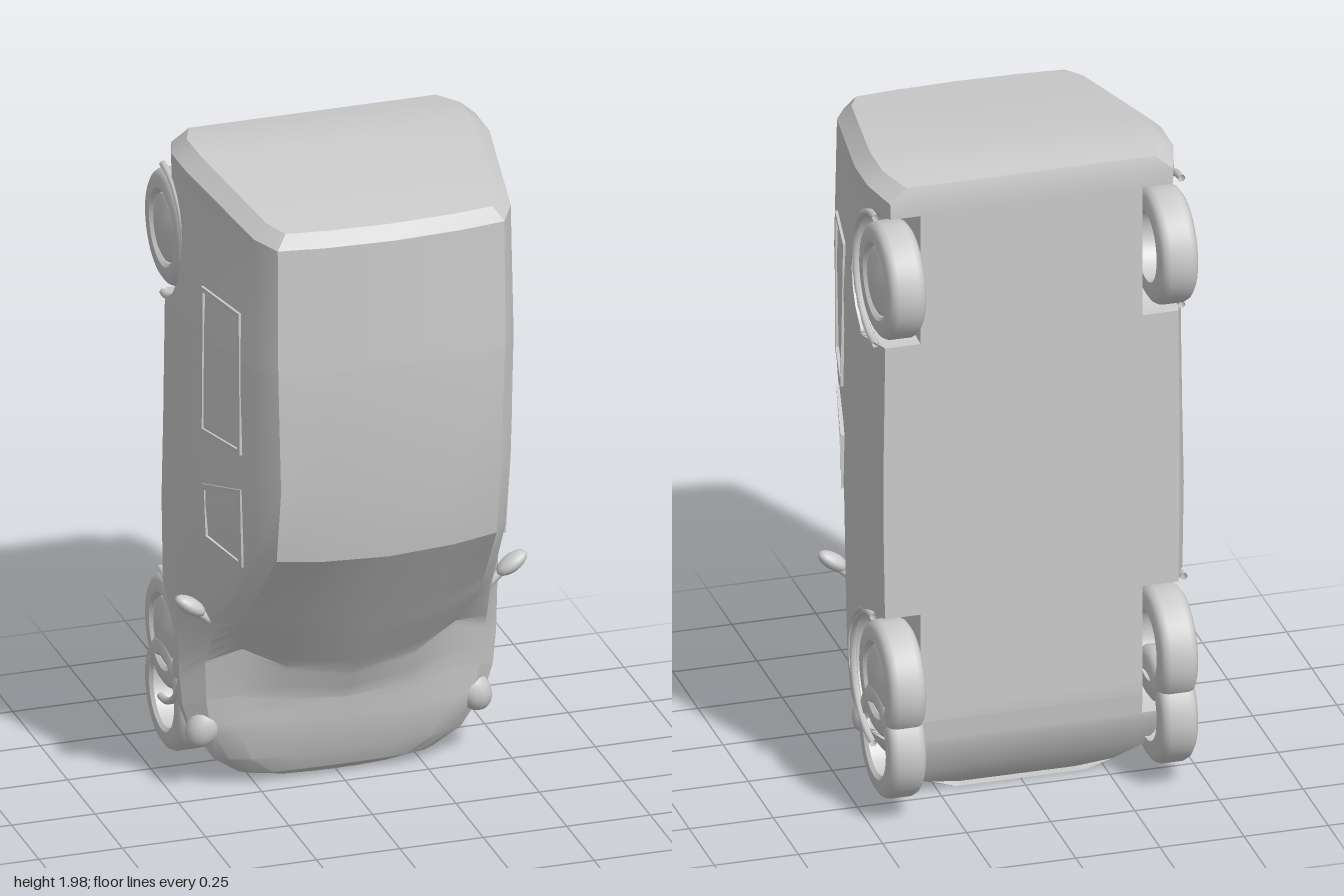
import * as THREE from 'three';
import { toCreasedNormals } from 'three/addons/utils/BufferGeometryUtils.js';

const mat = new THREE.MeshStandardMaterial({ color: 0xcccccc, side: THREE.DoubleSide });

// Body stations from nose (y = 0) to tail:
// y, roof z, roof edge x, z, shoulder x, z, belt x, floor x, floor z, bow of the roof edge
const KEYS = [
  [0.01, -0.09, 0.10, -0.095, 0.15, -0.10, 0.19, 0.17, -0.17, 0],
  [0.04, -0.05, 0.20, -0.055, 0.26, -0.07, 0.29, 0.27, -0.21, 0],
  [0.10, -0.02, 0.27, -0.03, 0.33, -0.05, 0.37, 0.35, -0.26, 0],
  [0.20, 0.00, 0.32, -0.01, 0.39, -0.03, 0.44, 0.41, -0.30, 0],
  [0.28, 0.015, 0.33, 0.00, 0.41, -0.02, 0.465, 0.42, -0.31, 0.04],
  [0.38, 0.07, 0.32, 0.035, 0.42, 0.00, 0.475, 0.43, -0.31, 0.10],
  [0.56, 0.19, 0.355, 0.15, 0.41, 0.08, 0.48, 0.435, -0.31, 0.06],
  [0.88, 0.40, 0.33, 0.38, 0.375, 0.32, 0.485, 0.44, -0.31, 0.02],
  [1.13, 0.44, 0.33, 0.42, 0.385, 0.34, 0.48, 0.44, -0.31, 0],
  [1.50, 0.45, 0.34, 0.425, 0.39, 0.35, 0.475, 0.435, -0.31, 0],
  [1.885, 0.445, 0.34, 0.42, 0.385, 0.34, 0.455, 0.42, -0.31, 0],
  [1.925, 0.42, 0.31, 0.40, 0.345, 0.33, 0.41, 0.37, -0.30, 0],
];
const WHEEL_Y = [0.42, 1.68], WHEEL_Z = -0.28, ARCH = 0.2;

function station(y) {
  const i = Math.max(0, Math.min(KEYS.length - 2, KEYS.findIndex(k => k[0] >= y) - 1));
  const a = KEYS[i], b = KEYS[i + 1], t = (y - a[0]) / (b[0] - a[0]);
  return a.map((v, k) => v + (b[k] - v) * t);
}

// Closed cross-section, with wheel wells lifted out of its lower corners
function section(y) {
  const [, top, ex, ez, sx, sz, bx, fx, fz, bow] = station(y);
  let arch = -1;
  for (const c of WHEEL_Y) {
    const d = Math.abs(y - c);
    if (d < ARCH) arch = WHEEL_Z + Math.sqrt(ARCH * ARCH - d * d);
  }
  const beltZ = Math.min(-0.07, sz - 0.02), well = Math.min(0.33, fx);
  const low = Math.max(fz, arch), sill = Math.max(Math.min(-0.2, fz + 0.09), -0.2, arch);
  const half = [
    [0, 0, top], [ex * 0.6, bow * 0.35, top + (ez - top) * 0.35], [ex, bow, ez], [sx, bow * 0.6, sz],
    [bx, 0, beltZ], [bx, 0, Math.min(sill, beltZ - 0.005)],
    [arch > -0.2 ? bx - 0.01 : fx, 0, Math.min(low, beltZ - 0.01)],
    [well, 0, Math.min(low, beltZ - 0.01)], [well, 0, fz], [0, 0, fz],
  ].map(([x, dy, z]) => {
    // the tail leans outwards down to the bumper, then tucks in
    const lean = y > 1.883 ? 0.12 * Math.min(0.44 - z, 0.56) - 0.14 * Math.max(0, -0.15 - z) : 0;
    return [x, y + dy + lean, z];
  });
  return half.concat(half.slice(1, -1).reverse().map(([x, yy, z]) => [-x, yy, z]));
}

function bodyGeometry() {
  const ys = KEYS.map(k => k[0]);
  for (const c of WHEEL_Y) {
    ys.push(c - 0.202, c + 0.202);
    for (let i = 0; i <= 12; i++) ys.push(c + 0.199 * Math.cos(Math.PI * i / 12));
  }
  ys.sort((a, b) => a - b);
  const rows = ys.map(section), n = rows[0].length, pos = [];
  const quad = (a, b, c, d) => pos.push(...a, ...b, ...c, ...a, ...c, ...d);
  for (let i = 0; i < rows.length - 1; i++)
    for (let j = 0; j < n; j++) {
      const k = (j + 1) % n;
      quad(rows[i][j], rows[i][k], rows[i + 1][k], rows[i + 1][j]);
    }
  // nose and tail caps
  const nose = rows[0], tail = rows[rows.length - 1];
  for (let j = 0; j < n / 2; j++) {
    const l0 = (n - j) % n, l1 = n - j - 1;
    quad(tail[j], tail[j + 1], tail[l1], tail[l0]);
    quad(nose[l0], nose[l1], nose[j + 1], nose[j]);
  }
  const g = new THREE.BufferGeometry();
  g.setAttribute('position', new THREE.Float32BufferAttribute(pos, 3));
  return toCreasedNormals(g, 0.4);
}

// Thin frame laid on the flank; corners are [z, y]
function windowFrame(corners) {
  const cz = corners.reduce((s, p) => s + p[0], 0) / corners.length;
  const cy = corners.reduce((s, p) => s + p[1], 0) / corners.length;
  const pts = corners.map(p => new THREE.Vector2(...p));
  const shape = new THREE.Shape(pts);
  shape.holes.push(new THREE.Path(pts.map(p => new THREE.Vector2(
    p.x - Math.sign(p.x - cz) * 0.014, p.y - Math.sign(p.y - cy) * 0.014))));
  const g = new THREE.ExtrudeGeometry(shape, { depth: 0.012, bevelEnabled: false });
  const p = g.attributes.position;
  for (let i = 0; i < p.count; i++) {
    const z = p.getX(i), y = p.getY(i), d = p.getZ(i), s = station(y);
    const t = (s[5] - z) / (s[5] + 0.07);
    p.setXYZ(i, s[4] + (s[6] - s[4]) * t + d - 0.004, y, z);
  }
  g.computeVertexNormals();
  return g;
}

// Lathe turned so that its axis runs along x
function turned(profile, crease = 0.6) {
  const g = new THREE.LatheGeometry(profile.map(p => new THREE.Vector2(...p)), 36);
  g.rotateZ(-Math.PI / 2);
  return toCreasedNormals(g.toNonIndexed(), crease);
}

export function createModel() {
  const model = new THREE.Group();
  const add = (parent, name, geo, x = 0, y = 0, z = 0) => {
    const m = new THREE.Mesh(geo, mat);
    m.name = name;
    m.position.set(x, y, z);
    parent.add(m);
    return m;
  };
  add(model, 'body', bodyGeometry());

  const tyre = turned([[0.105, -0.055], [0.15, -0.055], [0.165, -0.045], [0.172, -0.03], [0.172, 0.03],
    [0.165, 0.045], [0.15, 0.055], [0.115, 0.055], [0.105, 0.045], [0.105, -0.055]]);
  const hub = turned([[0, 0.03], [0.105, 0.03], [0.1, 0.045], [0.09, 0.05], [0, 0.054]]);
  const lip = new THREE.TorusGeometry(ARCH, 0.012, 6, 20, Math.PI);
  lip.rotateZ(-Math.PI / 2).rotateY(-Math.PI / 2);
  const rearWindow = windowFrame([[0.06, 1.19], [0.28, 1.2], [0.275, 1.64], [0.055, 1.64]]);
  const frontWindow = windowFrame([[0.075, 0.86], [0.26, 0.84], [0.275, 1.09], [0.07, 1.03]]);
  const ball = new THREE.SphereGeometry(1, 16, 10);

  for (const side of [1, -1]) {
    const flank = new THREE.Group();
    flank.name = side > 0 ? 'leftSide' : 'rightSide';
    flank.scale.x = side;
    model.add(flank);

    WHEEL_Y.forEach((y, i) => {
      const end = i ? 'rear' : 'front';
      add(flank, end + 'Tyre', tyre, 0.404, y, WHEEL_Z);
      add(flank, end + 'Hub', hub, 0.404, y, WHEEL_Z);
      const m = add(flank, end + 'ArchLip', lip, i ? 0.455 : 0.462, y, WHEEL_Z);
      // half ring opens towards the floor
      m.rotation.y = 0;
      m.geometry = archLip();
    });
    // spare ring ahead of each front wheel
    add(flank, 'looseTyre', tyre, 0.404, 0.23, WHEEL_Z);

    add(flank, 'rearSideWindow', rearWindow);
    add(flank, 'frontSideWindow', frontWindow);

    // door mirror: slanted shell on a short stalk
    const head = add(flank, 'mirrorHead', ball, 0.482, 0.645, 0.052);
    head.scale.set(0.052, 0.024, 0.033);
    head.rotation.z = 0.6;
    const stalk = add(flank, 'mirrorStalk', new THREE.CylinderGeometry(0.012, 0.016, 0.07, 8), 0.438, 0.603, 0.04);
    stalk.rotation.z = -0.9;

    // headlamp on the bumper corner
    const lamp = add(flank, 'headlamp', ball, 0.405, 0.21, -0.06);
    lamp.scale.set(0.05, 0.065, 0.045);
    lamp.rotation.z = 0.5;
  }
  return model;
}

// Half ring over a wheel, in the y-z plane, bulging towards +z
function archLip() {
  const pts = [];
  for (let i = 0; i <= 16; i++) {
    const a = Math.PI * i / 16;
    pts.push(new THREE.Vector3(0, ARCH * Math.cos(a), ARCH * Math.sin(a)));
  }
  return new THREE.TubeGeometry(new THREE.CatmullRomCurve3(pts), 24, 0.011, 6);
}
